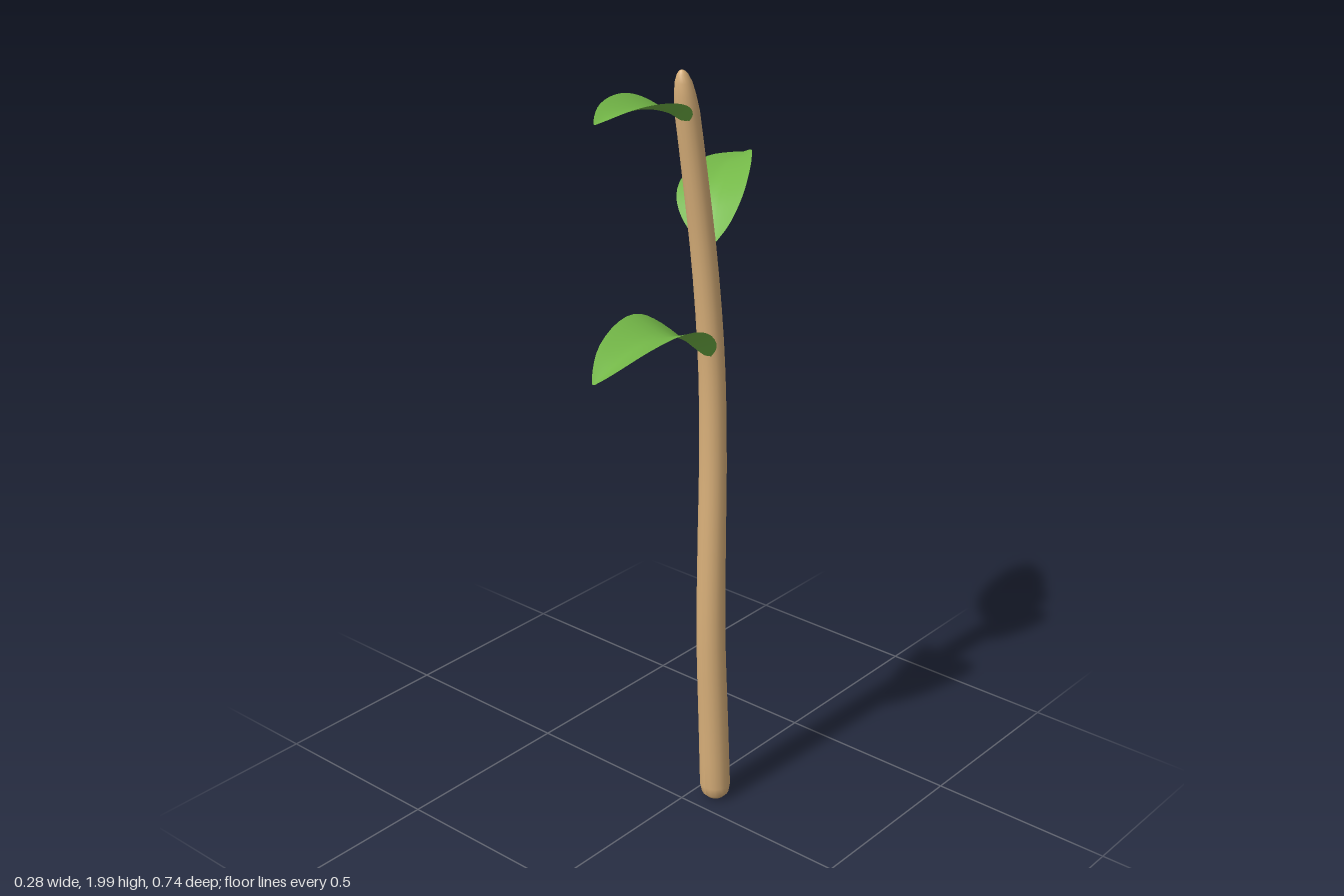
import * as THREE from 'three';

const V = (p) => new THREE.Vector3(...p);
const bark = new THREE.MeshStandardMaterial({ color: 0xd9b07a });
const leafGreen = new THREE.MeshStandardMaterial({ color: 0x74b848, side: THREE.DoubleSide });

// Centre line of the stem, at even steps of height
const stemX = [0.06, 0.057, 0.053, 0.049, 0.043, 0.037, 0.032, 0.027, 0.022];
const stemZ = [-0.07, -0.062, -0.055, -0.06, -0.07, -0.07, -0.05, -0.015, 0.025];
const stemLine = new THREE.CatmullRomCurve3(
  stemX.map((x, i) => new THREE.Vector3(x, i * 0.25, stemZ[i])), false, 'catmullrom', 0.5);

// A tapering round rod with rounded ends, bent along the centre line
function makeStem() {
  const profile = [[0, 0.008], [0.025, 0.012], [0.036, 0.024], [0.041, 0.05]];
  for (let i = 1; i <= 22; i++) {
    const t = i / 22;
    profile.push([0.041 - 0.011 * t, 0.05 + 1.85 * t]);
  }
  profile.push([0.026, 1.94], [0.021, 1.97], [0.013, 1.99], [0.006, 1.998], [0, 2]);
  const geo = new THREE.LatheGeometry(profile.map(([r, y]) => new THREE.Vector2(r, y)), 18);
  const pos = geo.attributes.position;
  for (let i = 0; i < pos.count; i++) {
    const c = stemLine.getPoint(THREE.MathUtils.clamp(pos.getY(i) / 2, 0, 1));
    pos.setX(i, pos.getX(i) + c.x);
    pos.setZ(i, pos.getZ(i) + c.z);
  }
  geo.computeVertexNormals();
  const mesh = new THREE.Mesh(geo, bark);
  mesh.name = 'stem';
  return mesh;
}

// Half width of a leaf from base to tip, as a share of the widest point
const outline = new THREE.SplineCurve(
  [[0, 0.12], [0.1, 0.6], [0.25, 0.92], [0.4, 1], [0.6, 0.88], [0.8, 0.62], [0.93, 0.3], [1, 0.04]]
    .map(([t, w]) => new THREE.Vector2(t, w)));

// A folded leaf: a sheet laid along its midrib, with the edges raised
function makeLeaf(name, { rib, side, halfWidth, fold }) {
  const curve = new THREE.CatmullRomCurve3(rib.map(V));
  const across = V(side);
  const geo = new THREE.PlaneGeometry(2, 1, 8, 20);
  const pos = geo.attributes.position;
  for (let i = 0; i < pos.count; i++) {
    const u = pos.getX(i);
    const o = outline.getPoint(0.5 + pos.getY(i));
    const p = curve.getPointAt(THREE.MathUtils.clamp(o.x, 0, 1));
    p.addScaledVector(across, u * o.y * halfWidth);
    p.y += fold * o.y * Math.pow(Math.abs(u), 1.3);
    pos.setXYZ(i, p.x, p.y, p.z);
  }
  // Turn the faces so that the upper side is the front
  const index = geo.index.array;
  if (rib[0][2] < rib.at(-1)[2] === across.x > 0) {
    for (let i = 0; i < index.length; i += 3) [index[i], index[i + 1]] = [index[i + 1], index[i]];
  }
  geo.computeVertexNormals();
  const mesh = new THREE.Mesh(geo, leafGreen);
  mesh.name = name;
  return mesh;
}

const leaves = {
  lowerLeaf: {
    rib: [[0.043, 1.28, -0.045], [0.044, 1.342, 0.03], [0.045, 1.378, 0.1],
      [0.046, 1.387, 0.17], [0.048, 1.373, 0.27], [0.05, 1.338, 0.37]],
    side: [1, 0, 0], halfWidth: 0.096, fold: 0.034,
  },
  middleLeaf: {
    rib: [[0.03, 1.555, -0.067], [0, 1.595, -0.1], [-0.03, 1.64, -0.145],
      [-0.055, 1.674, -0.2], [-0.09, 1.695, -0.285], [-0.112, 1.698, -0.37]],
    side: [0.91, 0.2, -0.41], halfWidth: 0.088, fold: 0.03,
  },
  upperLeaf: {
    rib: [[0.028, 1.875, 0.02], [0.034, 1.91, 0.08], [0.037, 1.932, 0.14],
      [0.039, 1.944, 0.2], [0.042, 1.948, 0.27], [0.045, 1.94, 0.345]],
    side: [1, 0, 0], halfWidth: 0.073, fold: 0.026,
  },
};

export function createModel() {
  const group = new THREE.Group();
  group.name = 'sapling';
  group.add(makeStem());
  for (const [name, spec] of Object.entries(leaves)) group.add(makeLeaf(name, spec));
  return group;
}
